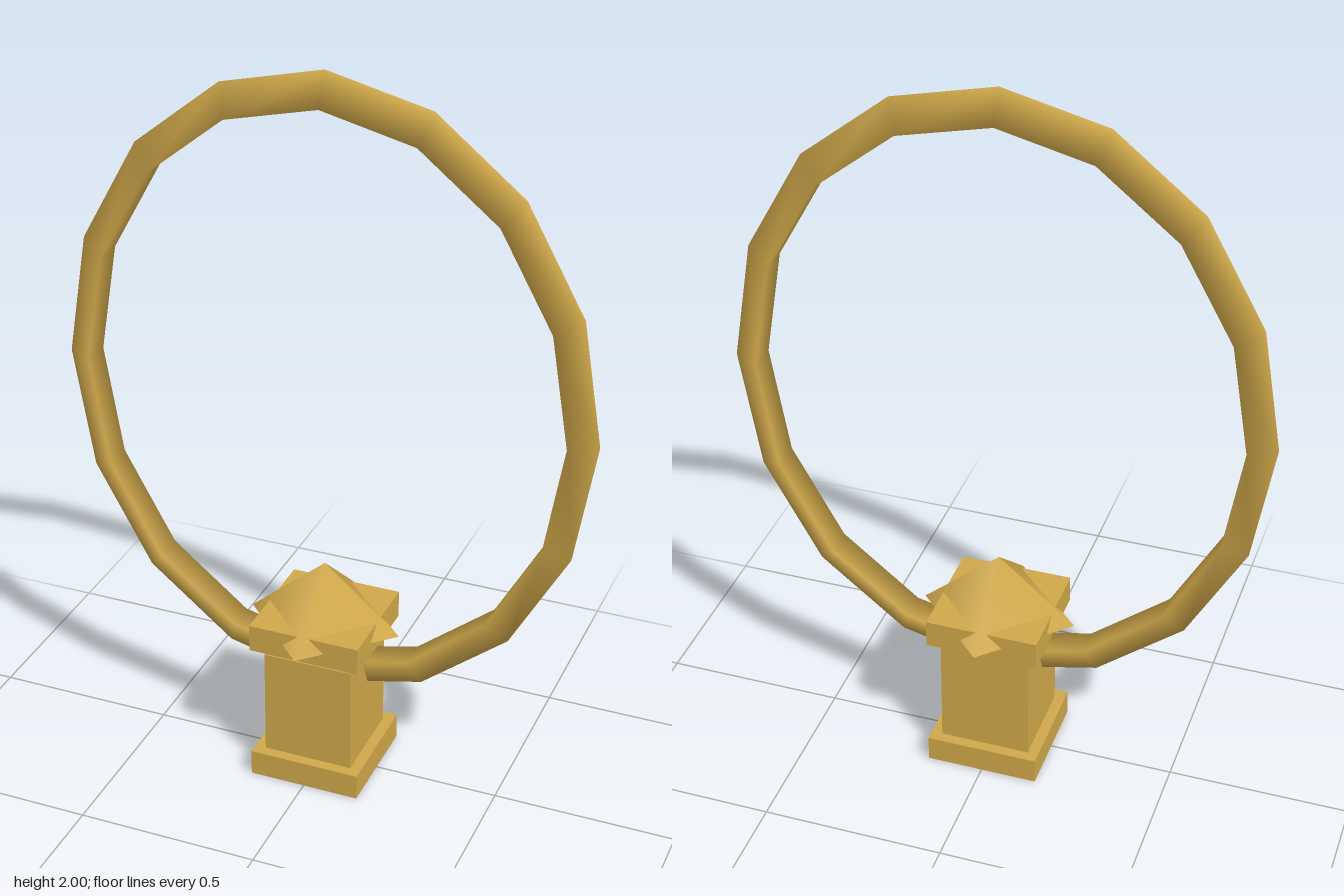
import * as THREE from 'three';

export function createModel() {
  const group = new THREE.Group();
  const gold = new THREE.MeshStandardMaterial({ color: 0xd0a84a });
  gold.name = 'gold';

  const add = (name, geometry, y) => {
    const mesh = new THREE.Mesh(geometry, gold);
    mesh.name = name;
    mesh.position.y = y;
    group.add(mesh);
    return mesh;
  };
  // Square block between two heights
  const block = (name, width, bottom, top) =>
    add(name, new THREE.BoxGeometry(width, top - bottom, width), (bottom + top) / 2);

  // Stacked post, with a narrow gap under the cap slab
  block('base', 0.31, 0, 0.073);
  block('post', 0.25, 0.073, 0.38);
  block('capSlab', 0.31, 0.405, 0.482);

  // Four-sided roof whose corners poke through the slab sides
  add('capRoof', new THREE.ConeGeometry(0.213, 0.182, 4), 0.536);

  // Tall oval hoop with a three-sided tube, passing through the post
  const hoop = add('hoop', new THREE.TorusGeometry(0.681, 0.0485, 3, 16), 1.125);
  hoop.scale.y = 1.2;

  return group;
}
